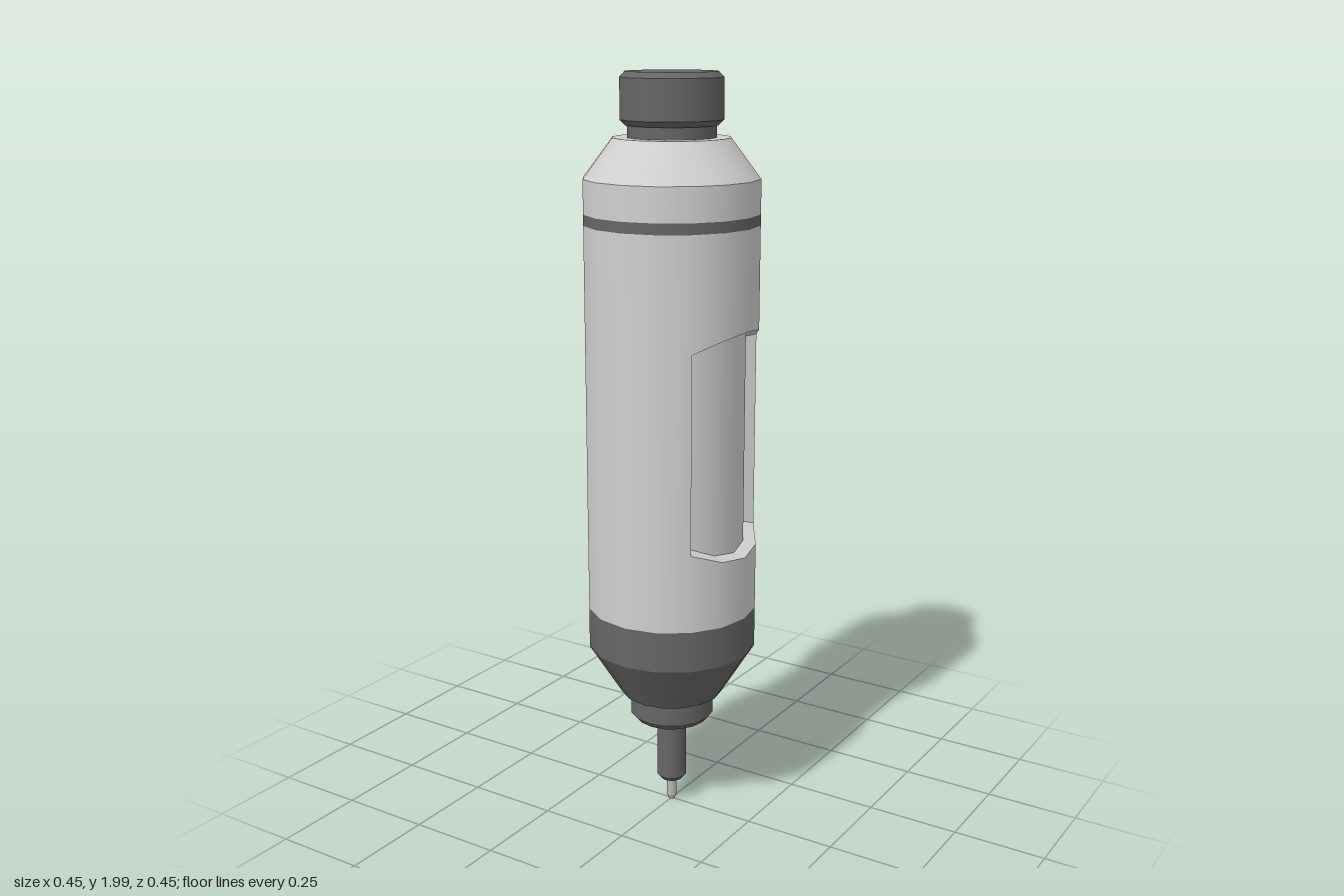
import * as THREE from 'three';
import { mergeGeometries } from 'three/addons/utils/BufferGeometryUtils.js';

const SIDES = 16, R = 0.227, FLOOR_R = 0.193;
const GRIP_TOP = 0.6, STRIPE_LOW = 1.625, STRIPE_HIGH = 1.653;

const material = (name, color) => {
  const m = new THREE.MeshStandardMaterial({ color });
  m.name = name;
  return m;
};

// Turned part from [radius, y] points, bottom to top: round sides, sharp edges between bands
function turned(name, points, mat) {
  const bands = [];
  for (let i = 0; i + 1 < points.length; i++) {
    const pair = [points[i], points[i + 1]].map(p => new THREE.Vector2(...p));
    bands.push(new THREE.LatheGeometry(pair, SIDES));
  }
  const mesh = new THREE.Mesh(mergeGeometries(bands), mat);
  mesh.name = name;
  return mesh;
}

// Barrel with a curved window recess on the left and right
function barrelGeometry() {
  const pos = [], nor = [];
  const at = (k, r, y) => {
    const a = k * Math.PI * 2 / SIDES;
    return new THREE.Vector3(r * Math.cos(a), y, r * Math.sin(a));
  };
  const quad = (corners, round) => {
    const flat = corners[1].clone().sub(corners[0]).cross(corners[2].clone().sub(corners[0])).normalize();
    for (const i of [0, 1, 2, 0, 2, 3]) {
      const p = corners[i];
      const n = round ? new THREE.Vector3(p.x, 0, p.z).normalize() : flat;
      pos.push(p.x, p.y, p.z);
      nor.push(n.x, n.y, n.z);
    }
  };
  const panel = (k, r, low, high) => quad(
    [at(k + 1, r, low(k + 1)), at(k, r, low(k)), at(k, r, high(k)), at(k + 1, r, high(k + 1))], true);
  const bottom = () => GRIP_TOP, top = () => STRIPE_LOW;
  // The ends of the recess bow outwards in the middle
  const bow = k => 0.135 * (1 - Math.abs(Math.cos(k * Math.PI * 2 / SIDES)));
  const high = k => 1.37 - bow(k), low = k => 0.77 + bow(k);
  const floorHigh = k => high(k) - 0.005, floorLow = k => low(k) + 0.008;

  for (const centre of [0, SIDES / 2]) {
    for (let k = centre - 2; k < centre + 2; k++) {
      panel(k, R, bottom, low);
      panel(k, R, high, top);
      panel(k, FLOOR_R, floorLow, floorHigh);
      const n = k + 1;
      quad([at(k, R, high(k)), at(n, R, high(n)), at(n, FLOOR_R, floorHigh(n)), at(k, FLOOR_R, floorHigh(k))]);
      quad([at(n, R, low(n)), at(k, R, low(k)), at(k, FLOOR_R, floorLow(k)), at(n, FLOOR_R, floorLow(n))]);
    }
    // Side walls of the recess
    for (const s of [-2, 2]) {
      const k = centre + s;
      const wall = [at(k, FLOOR_R, floorLow(k)), at(k, R, low(k)), at(k, R, high(k)), at(k, FLOOR_R, floorHigh(k))];
      quad(s < 0 ? wall : wall.reverse());
    }
    // Plain wall up to the next recess
    for (let k = centre + 2; k < centre + 6; k++) panel(k, R, bottom, top);
  }
  const g = new THREE.BufferGeometry();
  g.setAttribute('position', new THREE.Float32BufferAttribute(pos, 3));
  g.setAttribute('normal', new THREE.Float32BufferAttribute(nor, 3));
  return g;
}

export function createModel() {
  const shell = material('light grey shell', 0xd0d0d0);
  const dark = material('dark grey', 0x666666);
  const steel = material('tip metal', 0xb8b8b8);

  const model = new THREE.Group();
  model.name = 'pen';

  const barrel = new THREE.Mesh(barrelGeometry(), shell);
  barrel.name = 'barrel';

  model.add(
    barrel,
    turned('tip', [[0, 0.008], [0.008, 0.008], [0.014, 0.022], [0.014, 0.08]], steel),
    turned('tipTube', [[0, 0.075], [0.03, 0.075], [0.041, 0.088], [0.041, 0.27]], dark),
    turned('collar', [[0, 0.267], [0.1, 0.267], [0.114, 0.283], [0.114, 0.35]], dark),
    turned('grip', [[0, 0.347], [0.138, 0.347], [R, 0.49], [R, GRIP_TOP]], dark),
    turned('stripe', [[R, STRIPE_LOW], [R, STRIPE_HIGH]], dark),
    turned('shoulder', [[R, STRIPE_HIGH], [R, 1.74], [0.151, 1.84], [0, 1.84]], shell),
    turned('neck', [[0.114, 1.838], [0.114, 1.875]], dark),
    turned('cap', [[0, 1.87], [0.118, 1.87], [0.132, 1.884], [0.132, 1.986], [0.118, 2], [0, 2]], dark),
  );
  return model;
}
